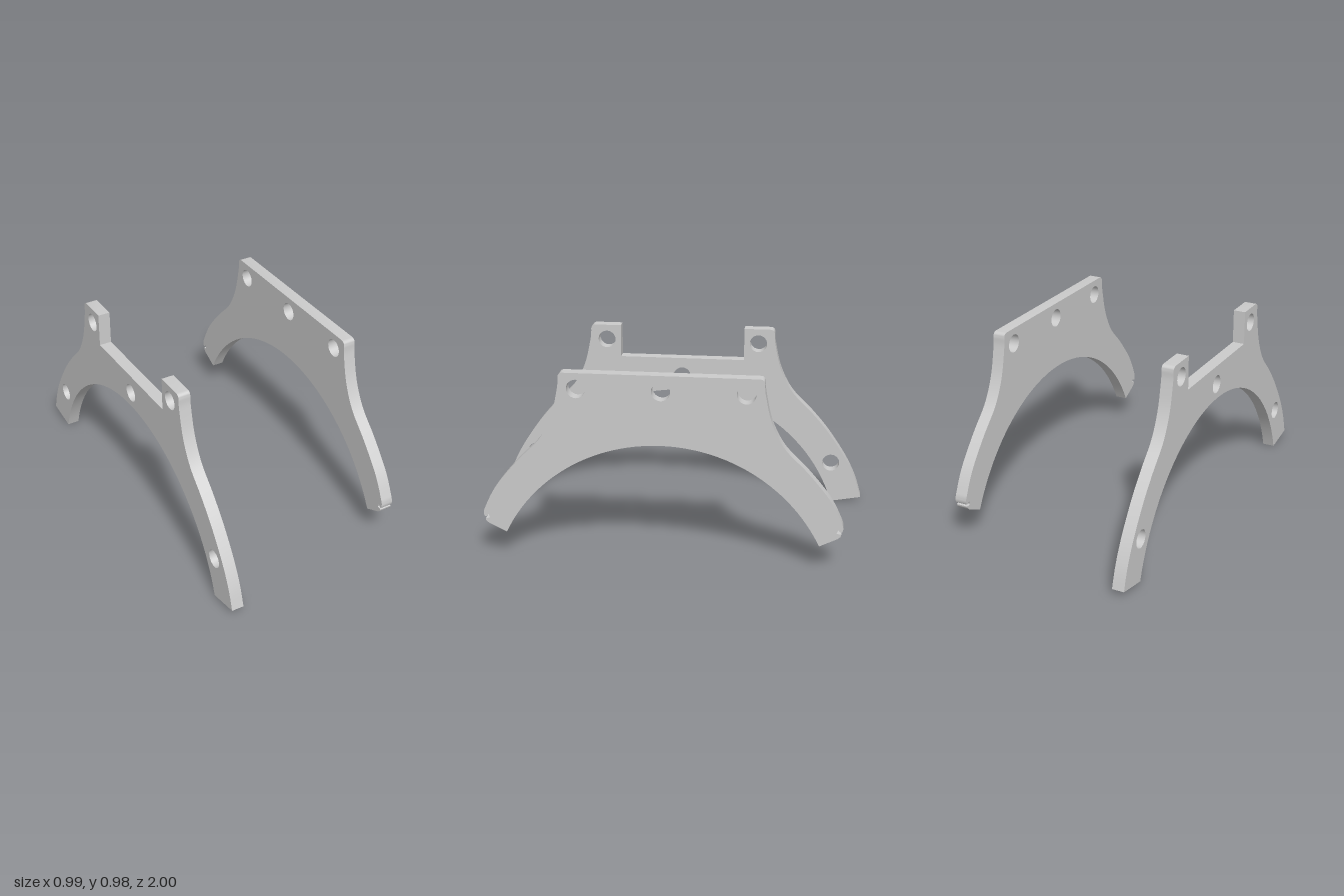
import * as THREE from 'three';
import { toCreasedNormals } from 'three/addons/utils/BufferGeometryUtils.js';

const THICK = 0.063, HOLE_R = 0.047;
const v = (x, y) => new THREE.Vector2(x, y);
const spline = (pts, n) => new THREE.SplineCurve(pts.map(p => v(...p))).getPoints(n);

// Points on a circle between two angles in degrees
function arc(cx, cy, r, a0, a1, n) {
  return Array.from({ length: n + 1 }, (_, i) => {
    const a = THREE.MathUtils.degToRad(a0 + (a1 - a0) * i / n);
    return v(cx + r * Math.cos(a), cy + r * Math.sin(a));
  });
}

// Inner arch edge, from the leg tip at distance x up to the crown
function archEdge(x) {
  const r = 0.872, start = THREE.MathUtils.radToDeg(Math.acos(x / r));
  return arc(0, -0.252, r, start, 90, 24);
}

// Extrudes a mirrored half outline into a plate standing at x0
function plate(name, half, holes, x0) {
  const mirrored = half.slice(0, -1).reverse().map(p => v(-p.x, p.y));
  const shape = new THREE.Shape([...half, ...mirrored]);
  for (const [x, y] of holes) {
    shape.holes.push(new THREE.Path(arc(x, y, HOLE_R, 0, 360, 24).slice(0, -1)));
  }
  let geo = new THREE.ExtrudeGeometry(shape, { depth: THICK, bevelEnabled: false });
  geo = toCreasedNormals(geo.rotateY(Math.PI / 2).translate(x0, 0, 0), 0.5);
  const mesh = new THREE.Mesh(geo, new THREE.MeshStandardMaterial({ color: 0xcccccc }));
  mesh.name = name;
  return mesh;
}

export function createModel() {
  const group = new THREE.Group();
  group.name = 'archBrackets';

  // Rounded top corner and flared shoulder shared by both plates
  const corner = arc(0.48, 0.953, 0.022, 90, 0, 5);
  const shoulder = [[0.502, 0.94], [0.508, 0.888], [0.54, 0.754], [0.604, 0.63], [0.711, 0.519], [0.807, 0.406]];
  const topHoles = [[0.415, 0.895], [-0.415, 0.895]];

  // Right plate: notched top, long plain legs
  const notched = [
    v(0.338, 0.8), v(0.338, 0.975),
    ...corner,
    ...spline([...shoulder, [0.904, 0.262], [0.965, 0.14], [1, 0.03]], 36),
    ...archEdge(0.8348),
  ];
  group.add(plate('notchedPlate', notched,
    [...topHoles, [0, 0.7], [0.829, 0.227], [-0.829, 0.227]], -0.497));

  // Left plate: straight top, short legs whose holes open outward through a slot
  const slotted = [
    ...corner,
    ...spline([...shoulder, [0.855, 0.333], [0.892, 0.255]], 32),
    ...spline([[0.899, 0.238], [0.9, 0.222], [0.896, 0.208], [0.886, 0.208]], 6),
    ...arc(0.829, 0.227, HOLE_R, -10, -346 + 12, 24).slice(0, -1),
    ...arc(0.829, 0.227, HOLE_R, -334, -394, 6),
    ...spline([[0.88, 0.197], [0.891, 0.196], [0.888, 0.183], [0.872, 0.17]], 8),
    ...archEdge(0.785),
  ];
  group.add(plate('slottedPlate', slotted, [...topHoles, [0, 0.895]], 0.434));

  return group;
}
